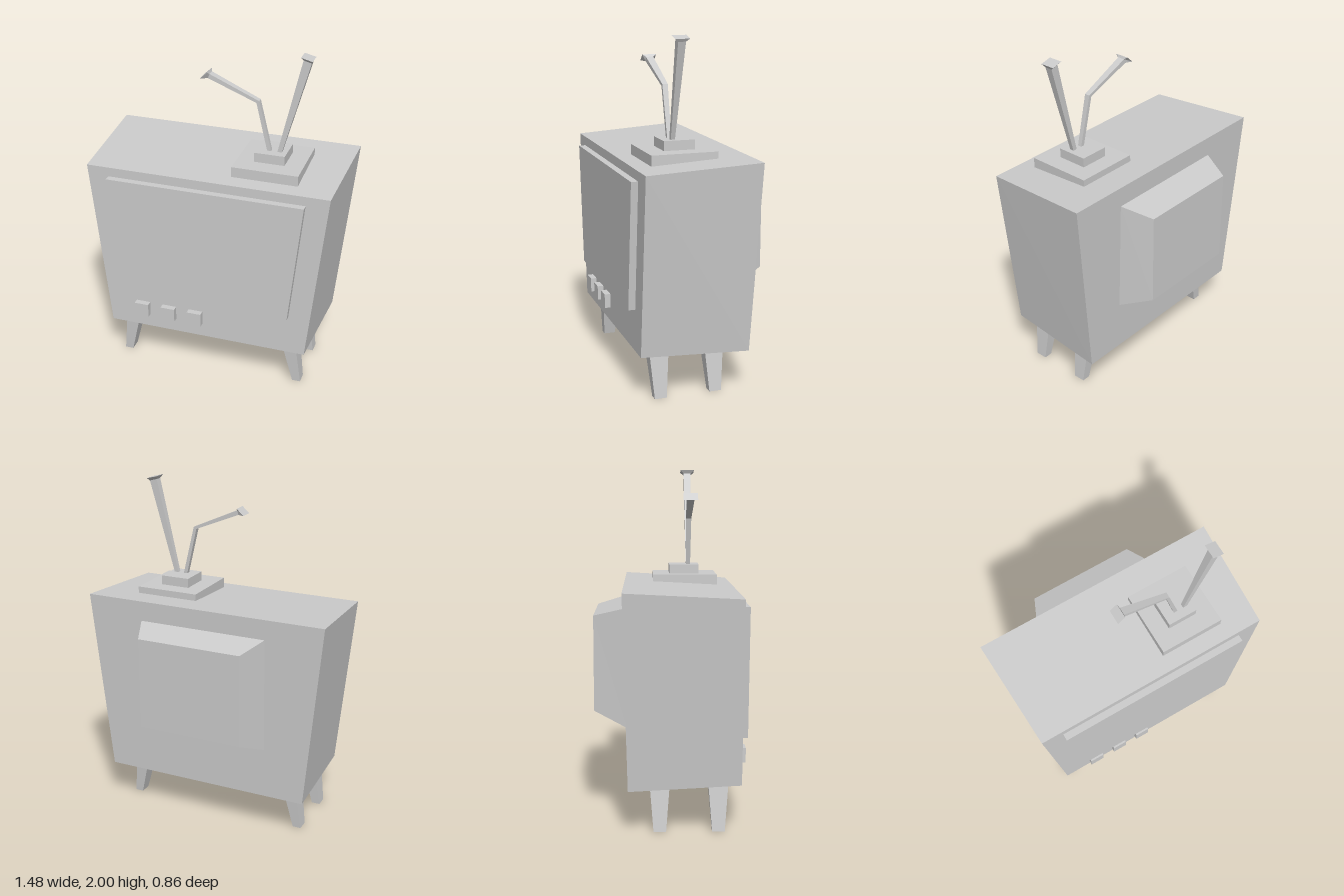
import * as THREE from 'three';

const material = new THREE.MeshStandardMaterial({ color: 0xcccccc, flatShading: true });

// Skin four-cornered sections into a closed solid; corners run
// counter-clockwise when seen from the far end of the loft.
function loft(name, sections) {
  const points = [];
  const quad = (a, b, c, d) => points.push(...a, ...b, ...c, ...a, ...c, ...d);
  for (let s = 0; s < sections.length - 1; s++) {
    const p = sections[s], q = sections[s + 1];
    for (let i = 0; i < 4; i++) {
      const j = (i + 1) % 4;
      quad(p[i], p[j], q[j], q[i]);
    }
  }
  quad(...[...sections[0]].reverse());
  quad(...sections[sections.length - 1]);
  const geometry = new THREE.BufferGeometry();
  geometry.setAttribute('position', new THREE.Float32BufferAttribute(points, 3));
  geometry.computeVertexNormals();
  const mesh = new THREE.Mesh(geometry, material);
  mesh.name = name;
  return mesh;
}

// Upright section: bottom and top edges as [xLeft, xRight, y, z]
const upright = ([bl, br, by, bz], [tl, tr, ty, tz]) =>
  [[bl, by, bz], [br, by, bz], [tr, ty, tz], [tl, ty, tz]];

// Section across a limb: two points in the xy plane, spread in z
const across = ([ax, ay], [bx, by], z, half) =>
  [[ax, ay, z + half], [bx, by, z + half], [bx, by, z - half], [ax, ay, z - half]];

function box(name, x0, x1, y0, y1, z0, z1) {
  const mesh = new THREE.Mesh(new THREE.BoxGeometry(x1 - x0, y1 - y0, z1 - z0), material);
  mesh.position.set((x0 + x1) / 2, (y0 + y1) / 2, (z0 + z1) / 2);
  mesh.name = name;
  return mesh;
}

export function createModel() {
  const model = new THREE.Group();
  model.name = 'television';

  // Tapered cabinet, larger at the back and top
  model.add(loft('cabinet', [
    upright([-0.63, 0.625, 0.245, -0.235], [-0.74, 0.735, 1.34, -0.26]),
    upright([-0.605, 0.595, 0.27, 0.39], [-0.71, 0.705, 1.305, 0.39]),
  ]));

  // Raised screen
  model.add(loft('screen', [0.38, 0.43].map((z) =>
    upright([-0.51, 0.495, 0.515, z], [-0.58, 0.57, 1.25, z]))));

  // Tube housing on the back
  model.add(loft('rearHousing', [
    upright([-0.315, 0.315, 0.63, -0.43], [-0.315, 0.315, 1.175, -0.43]),
    upright([-0.39, 0.39, 0.545, -0.241], [-0.39, 0.39, 1.222, -0.256]),
  ]));

  // Control buttons
  for (const x of [-0.4, -0.235, -0.07])
    model.add(box('button', x - 0.043, x + 0.043, 0.355, 0.44, 0.38, 0.425));

  // Splayed, tapered legs
  for (const [place, z] of [['front', 0.265], ['back', -0.06]])
    for (const side of [-1, 1]) {
      const section = (inner, outer, y, half) => {
        const [x0, x1] = [side * inner - 0.007, side * outer - 0.007].sort((a, b) => a - b);
        return across([x0, y], [x1, y], z, half);
      };
      model.add(loft(place + (side > 0 ? 'LeftLeg' : 'RightLeg'), [
        section(0.517, 0.567, 0, 0.035),
        section(0.452, 0.535, 0.267, 0.056),
      ]));
    }

  // Stepped antenna base
  const antenna = new THREE.Group();
  antenna.name = 'antenna';
  antenna.add(box('basePlate', 0.12, 0.5, 1.31, 1.37, -0.09, 0.295));
  antenna.add(box('baseBlock', 0.22, 0.395, 1.37, 1.425, 0.01, 0.19));

  // Straight rod with a flared tip
  const z = 0.128;
  antenna.add(loft('straightRod', [
    across([0.338, 1.42], [0.362, 1.415], z, 0.012),
    across([0.471, 1.98], [0.516, 1.968], z, 0.022),
    across([0.461, 2.0], [0.525, 1.984], z, 0.042),
  ]));

  // Bent rod with a flared tip
  antenna.add(loft('bentRod', [
    across([0.282, 1.415], [0.304, 1.42], z, 0.012),
    across([0.215, 1.704], [0.231, 1.716], z, 0.016),
    across([-0.061, 1.817], [-0.052, 1.842], z, 0.022),
    across([-0.1, 1.818], [-0.058, 1.856], z, 0.042),
  ]));
  model.add(antenna);

  return model;
}
